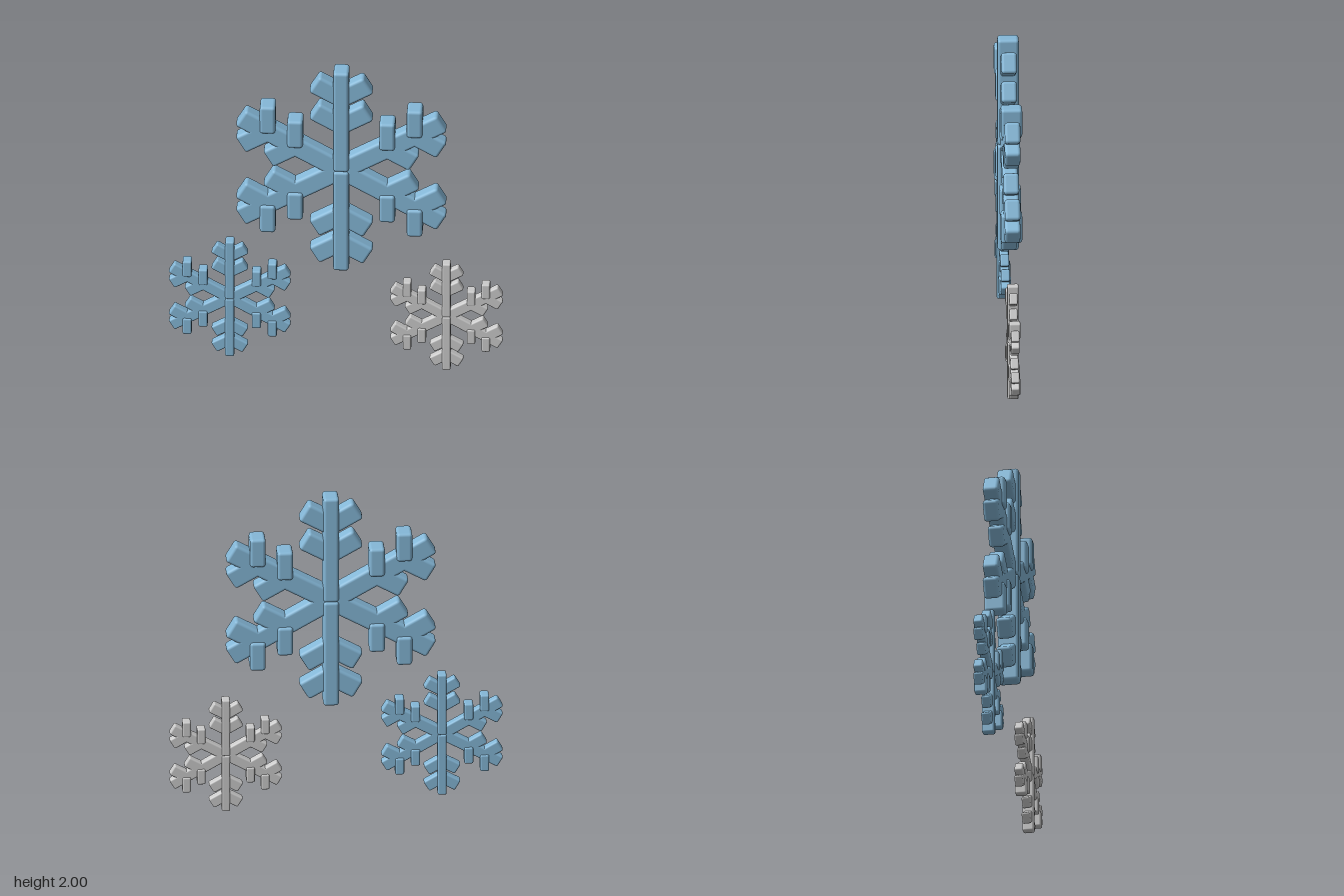
import * as THREE from 'three';
import { RoundedBoxGeometry } from 'three/addons/geometries/RoundedBoxGeometry.js';

const ARM = 0.667, BRANCH = 0.18;   // lengths
const NARROW = 0.09, WIDE = 0.122;  // bar cross-section
const BEVEL = 0.018;

// Rounded bar starting at (x, y) and running at an angle from vertical.
// Vertical bars stand edge-on (deep in z), slanted bars lie flat.
function bar(name, x, y, length, angle, material) {
  const upright = Math.abs(Math.sin(angle)) < 0.01;
  const geometry = new RoundedBoxGeometry(
    upright ? NARROW : WIDE, length, upright ? WIDE : NARROW, 2, BEVEL);
  geometry.translate(0, length / 2, 0);
  const mesh = new THREE.Mesh(geometry, material);
  mesh.name = name;
  mesh.position.set(x, y, 0);
  mesh.rotation.z = -angle;
  return mesh;
}

// Six arms, each with two pairs of side branches
function snowflake(name, x, y, scale, color) {
  const flake = new THREE.Group();
  flake.name = name;
  const material = new THREE.MeshStandardMaterial({ color });
  for (let i = 0; i < 6; i++) {
    const angle = i * Math.PI / 3;
    flake.add(bar('arm', 0, 0, ARM, angle, material));
    for (const r of [0.305, 0.487]) {
      for (const side of [-1, 1]) {
        flake.add(bar('branch', r * Math.sin(angle), r * Math.cos(angle),
          BRANCH, angle + side * Math.PI / 3, material));
      }
    }
  }
  flake.position.set(x, y, 0);
  flake.scale.setScalar(scale);
  return flake;
}

export function createModel() {
  const model = new THREE.Group();
  model.name = 'snowflakes';
  model.add(
    snowflake('largeSnowflake', 0.029, 1.333, 1, 0x85b8d8),
    snowflake('mediumSnowflake', -0.611, 0.438, 0.579, 0x85b8d8),
    snowflake('smallSnowflake', 0.632, 0.357, 0.536, 0xcccccc),
  );
  return model;
}
